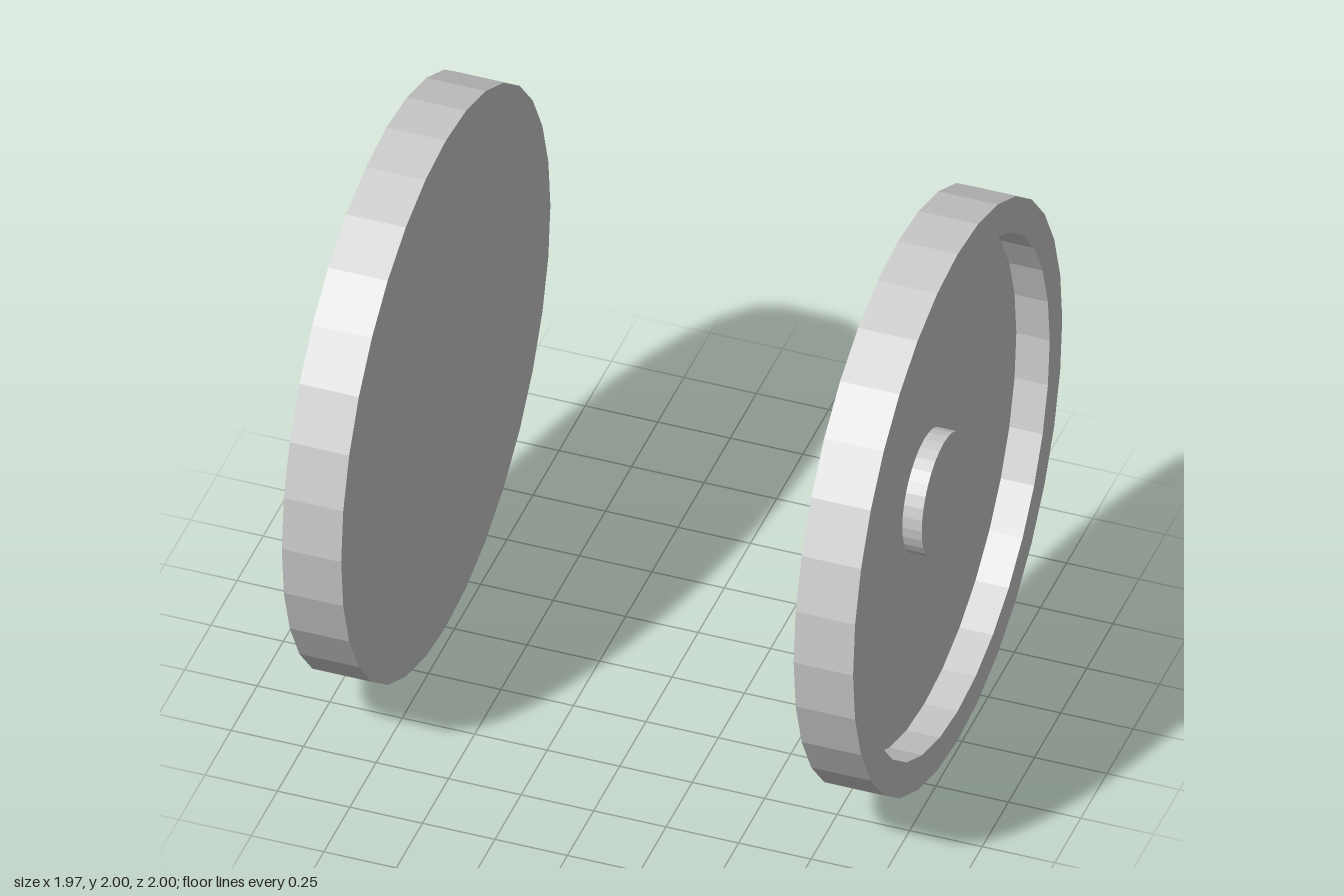
import * as THREE from 'three';

const SIDES = 32;
const INNER_X = 0.78, WIDTH = 0.205;      // inner face position, disc thickness
const FLOOR = 0.09, BOSS_HEIGHT = 0.067;  // heights measured from the inner face / recess floor

const material = new THREE.MeshStandardMaterial({ color: 0xcccccc, flatShading: true });

function createWheel(name) {
  const wheel = new THREE.Group();
  wheel.name = name;

  // Dished disc: plain back, raised rim, sunken floor
  const profile = [
    [0, 0], [1, 0], [1, WIDTH], [0.88, WIDTH], [0.88, FLOOR], [0, FLOOR],
  ].map(([r, y]) => new THREE.Vector2(r, y));
  const disc = new THREE.Mesh(new THREE.LatheGeometry(profile, SIDES), material);
  disc.name = 'rimmedDisc';

  // Hub boss standing on the recess floor
  const hub = new THREE.Mesh(new THREE.CylinderGeometry(0.21, 0.21, BOSS_HEIGHT, SIDES), material);
  hub.name = 'hub';
  hub.position.y = FLOOR + BOSS_HEIGHT / 2;

  wheel.add(disc, hub);
  return wheel;
}

export function createModel() {
  const model = new THREE.Group();
  model.name = 'wheelPair';

  // Two wheels on a shared axis, recesses facing outward
  for (const [name, side] of [['leftWheel', 1], ['rightWheel', -1]]) {
    const wheel = createWheel(name);
    wheel.rotation.z = -side * Math.PI / 2;
    wheel.position.set(side * INNER_X, 1, 0);
    model.add(wheel);
  }
  return model;
}
